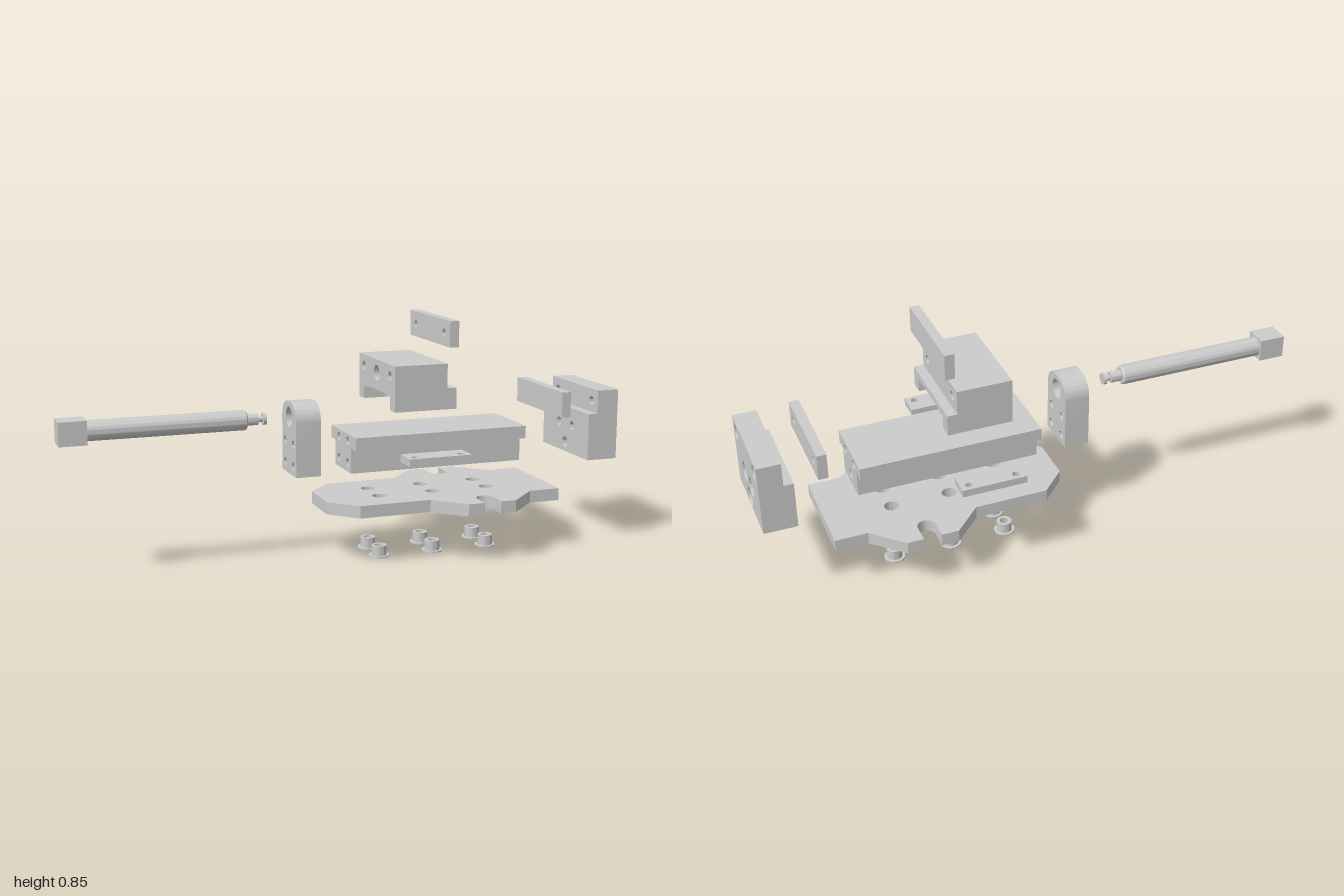
import * as THREE from 'three';
import { toCreasedNormals } from 'three/addons/utils/BufferGeometryUtils.js';

const material = new THREE.MeshStandardMaterial({ color: 0xcccccc });

// Outline from points (mirrored in u when half is true), with round holes [u, v, radius]
function outline(points, holes = [], half = false) {
  const all = half ? [...points, ...points.map(([u, v]) => [-u, v]).reverse()] : points;
  const shape = new THREE.Shape(all.map(([u, v]) => new THREE.Vector2(u, v)));
  return addHoles(shape, holes);
}
function addHoles(shape, holes) {
  for (const [u, v, r] of holes) {
    const path = new THREE.Path();
    path.absarc(u, v, r, 0, Math.PI * 2, true);
    shape.holes.push(path);
  }
  return shape;
}
const rect = (u0, u1, v0, v1) => [[u0, v0], [u1, v0], [u1, v1], [u0, v1]];

function extrude(shape, depth) {
  const geo = new THREE.ExtrudeGeometry(shape, { depth, bevelEnabled: false, curveSegments: 16 });
  return toCreasedNormals(geo, 0.6);
}
// Slab from x0 to x1; the shape lies in (-z, y)
const slabX = (shape, x0, x1) => extrude(shape, x1 - x0).rotateY(Math.PI / 2).translate(x0, 0, 0);
// Slab from y0 to y1; the shape lies in (x, -z)
const slabY = (shape, y0, y1) => extrude(shape, y1 - y0).rotateX(-Math.PI / 2).translate(0, y0, 0);

function lathe(points, segments = 40) {
  const geo = new THREE.LatheGeometry(points.map(([r, y]) => new THREE.Vector2(r, y)), segments);
  return toCreasedNormals(geo, 0.6);
}
// The same hole on both sides of the middle
const pair = (u, v, r) => [[u, v, r], [-u, v, r]];

export function createModel() {
  const model = new THREE.Group();
  const part = (name, ...geometries) => {
    const group = new THREE.Group();
    group.name = name;
    for (const geo of geometries) {
      const mesh = new THREE.Mesh(geo, material);
      mesh.name = name + 'Body';
      group.add(mesh);
    }
    model.add(group);
    return group;
  };

  // Lead screw: square head, long shaft and grooved tip
  const shaft = lathe([
    [0, -0.91], [0.035, -0.91], [0.035, -0.36], [0.03, -0.355], [0.02, -0.355], [0.02, -0.314],
    [0.01, -0.314], [0.01, -0.296], [0.021, -0.296], [0.021, -0.285], [0, -0.285],
  ]).rotateZ(-Math.PI / 2).translate(0, 0.515, 0);
  const head = new THREE.BoxGeometry(0.095, 0.082, 0.082).translate(-0.9525, 0.515, 0);
  part('leadScrew', head, shaft);

  // Screw support block with a rounded top
  const support = new THREE.Shape();
  support.moveTo(-0.079, 0.315);
  support.lineTo(0.079, 0.315);
  support.absarc(0.014, 0.505, 0.065, 0, Math.PI / 2, false);
  support.absarc(-0.014, 0.505, 0.065, Math.PI / 2, Math.PI, false);
  const supportBolts = [...pair(0.045, 0.425, 0.015), ...pair(0.045, 0.348, 0.015)];
  addHoles(support, [[0, 0.515, 0.036], ...supportBolts]);
  part('screwSupport', slabX(support, -0.2, -0.11));

  // T-shaped slide rail with blind holes in both ends
  const railProfile = [[0.081, 0.315], [0.081, 0.405], [0.127, 0.405], [0.127, 0.45]];
  const railBolts = [...pair(0.049, 0.42, 0.016), [0, 0.35, 0.018]];
  part('slideRail',
    slabX(outline(railProfile, supportBolts, true), 0, 0.08),
    slabX(outline(railProfile, [], true), 0.08, 0.57),
    slabX(outline(railProfile, railBolts, true), 0.57, 0.65));

  // Moving jaw: stepped front, channel underneath, blind screw socket behind
  const channel = [[0.083, 0.592], [0.083, 0.587], [0.127, 0.587], [0.127, 0.54], [0.174, 0.54]];
  const jawProfile = [...channel, [0.174, 0.7]];
  const jawBolts = pair(0.127, 0.66, 0.016);
  part('movingJaw',
    slabX(outline(jawProfile, [...jawBolts, [0, 0.652, 0.028]], true), 0.125, 0.225),
    slabX(outline(jawProfile, jawBolts, true), 0.225, 0.32),
    slabX(outline([...channel, [0.174, 0.614]], [], true), 0.32, 0.355));

  // Jaw plates with blind bolt holes on the side facing their jaw
  const jawPlate = (name, x, y, holeSide) => {
    const corners = rect(-0.178, 0.178, y - 0.0455, y + 0.0455);
    const drilled = outline(corners, pair(0.127, y, 0.014));
    const plain = outline(corners);
    part(name,
      slabX(holeSide < 0 ? drilled : plain, x - 0.017, x),
      slabX(holeSide < 0 ? plain : drilled, x, x + 0.017));
  };
  jawPlate('movingJawPlate', 0.342, 0.801, -1);
  jawPlate('fixedJawPlate', 0.784, 0.527, 1);

  // Fixed jaw: stepped block with counterbored bolt holes
  const lowBolts = (r1, r2) => [...pair(0.049, 0.42, r1), [0, 0.35, r2]];
  const fullFace = rect(-0.172, 0.172, 0.315, 0.57);
  part('fixedJaw',
    slabX(outline(rect(-0.172, 0.172, 0.315, 0.485), lowBolts(0.017, 0.02)), 0.88, 0.914),
    slabX(outline(fullFace, [...lowBolts(0.017, 0.02), ...pair(0.127, 0.527, 0.016)]), 0.914, 0.955),
    slabX(outline(fullFace, [...lowBolts(0.035, 0.035), ...pair(0.127, 0.527, 0.027)]), 0.955, 0.996));

  // Guide bars that sit under the moving jaw
  for (const side of [1, -1]) {
    const corners = rect(0.126, 0.355, side * 0.2675 - 0.0425, side * 0.2675 + 0.0425);
    const holes = [0.157, 0.325].map((x) => [x, side * 0.285, 0.013]);
    part(side > 0 ? 'rightGuideBar' : 'leftGuideBar', slabY(outline(corners, holes), 0.379, 0.405));
  }

  // Base plate with chamfered nose, two slotted ears and bushing holes
  const spots = [];
  for (const x of [0.115, 0.32, 0.53]) for (const z of [0.057, -0.057]) spots.push([x, z]);
  const slot = [];
  for (let i = 0; i <= 12; i++) {
    const a = (Math.PI * i) / 12;
    slot.push([0.455 + 0.031 * Math.cos(a), 0.21 - 0.031 * Math.sin(a)]);
  }
  const edge = [
    [0.765, 0.174], [0.65, 0.174], [0.543, 0.277], [0.486, 0.277], ...slot,
    [0.424, 0.277], [0.362, 0.277], [0.262, 0.174], [0, 0.174], [-0.09, 0.083],
  ];
  const plate = [...edge, ...edge.map(([x, z]) => [x, -z]).reverse()];
  const plateHoles = spots.map(([x, z]) => [x, z, 0.026]);
  part('basePlate', slabY(outline(plate, plateHoles), 0.177, 0.221));

  // Flanged bushings below the base plate
  const bushing = lathe([
    [0.016, 0], [0.037, 0], [0.037, 0.005], [0.027, 0.005], [0.027, 0.041], [0.016, 0.041], [0.016, 0],
  ], 32);
  for (const [x, z] of spots) part('bushing', bushing).position.set(x, 0, z);

  return model;
}
